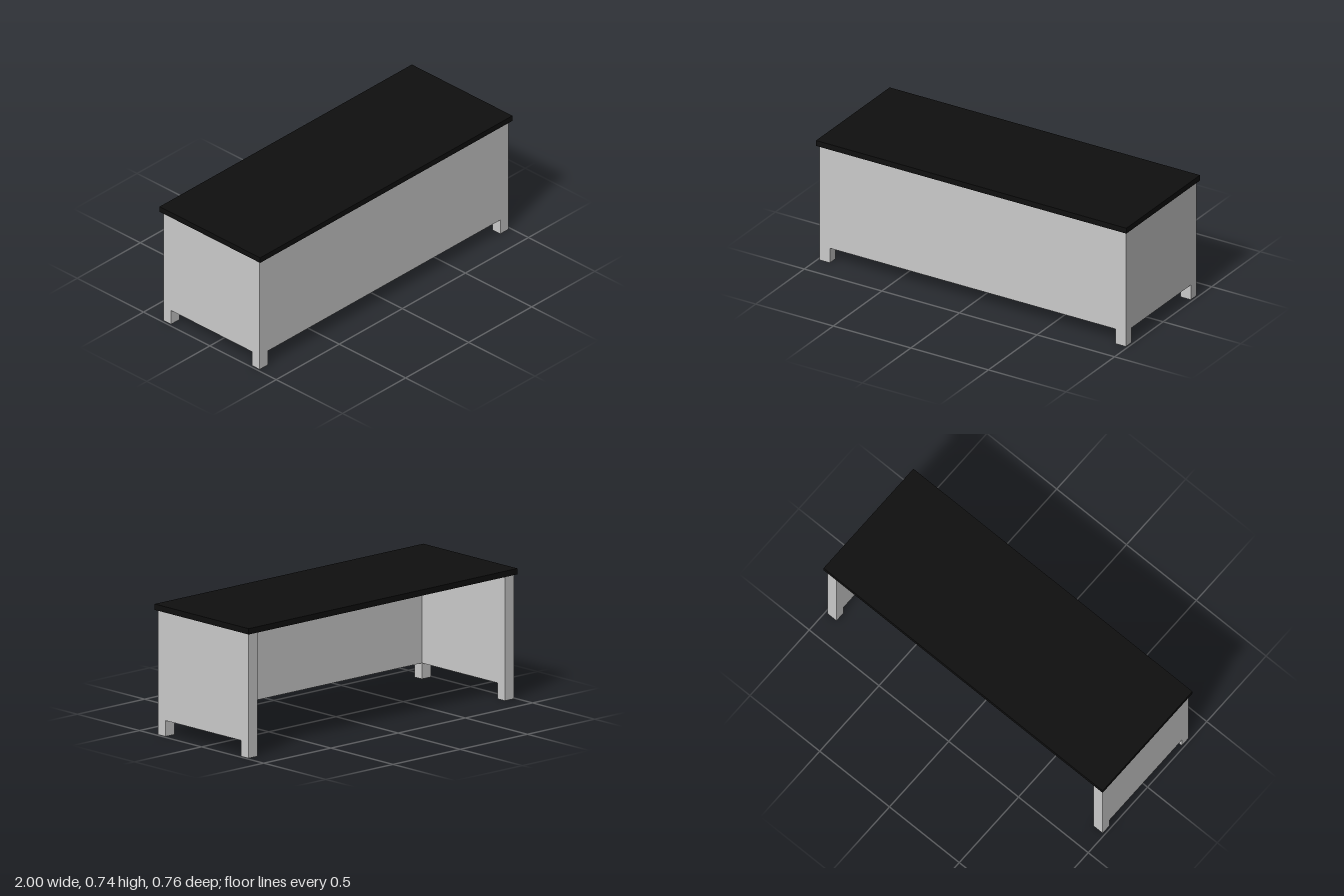
import * as THREE from 'three';

const X = 0.987, Z = 0.363;        // outer half sizes of the base
const LEG_W = 0.066, LEG_D = 0.058; // wall and leg thickness along x and z
const FOOT_H = 0.09, BASE_TOP = 0.702, TOP_Y = 0.735;

export function createModel() {
  const desk = new THREE.Group();
  desk.name = 'desk';
  const grey = new THREE.MeshStandardMaterial({ color: 0xcccccc });
  const black = new THREE.MeshStandardMaterial({ color: 0x0f0f0f });

  const add = (name, geometry, material, x, y, z) => {
    const mesh = new THREE.Mesh(geometry, material);
    mesh.name = name;
    mesh.position.set(x, y, z);
    desk.add(mesh);
    return mesh;
  };

  // Table top with a small overhang all round
  add('tableTop', new THREE.BoxGeometry(2, TOP_Y - BASE_TOP, 0.758), black,
    0, (TOP_Y + BASE_TOP) / 2, 0);

  // Front and side panels: a U-shaped plan, open at the back (plan y = -z)
  const xi = X - LEG_W, zi = Z - LEG_D;
  const plan = new THREE.Shape([
    [-X, -Z], [X, -Z], [X, Z], [xi, Z], [xi, -zi], [-xi, -zi], [-xi, Z], [-X, Z],
  ].map(([x, y]) => new THREE.Vector2(x, y)));
  const panels = new THREE.ExtrudeGeometry(plan, { depth: BASE_TOP - FOOT_H, bevelEnabled: false });
  panels.rotateX(-Math.PI / 2);
  add('panels', panels, grey, 0, FOOT_H, 0);

  // Four feet, flush with the panel corners
  const foot = new THREE.BoxGeometry(LEG_W, FOOT_H, LEG_D);
  for (const sx of [1, -1]) {
    for (const sz of [1, -1]) {
      const name = (sz > 0 ? 'front' : 'back') + (sx > 0 ? 'Left' : 'Right') + 'Foot';
      add(name, foot, grey, sx * (X - LEG_W / 2), FOOT_H / 2, sz * (Z - LEG_D / 2));
    }
  }
  return desk;
}
